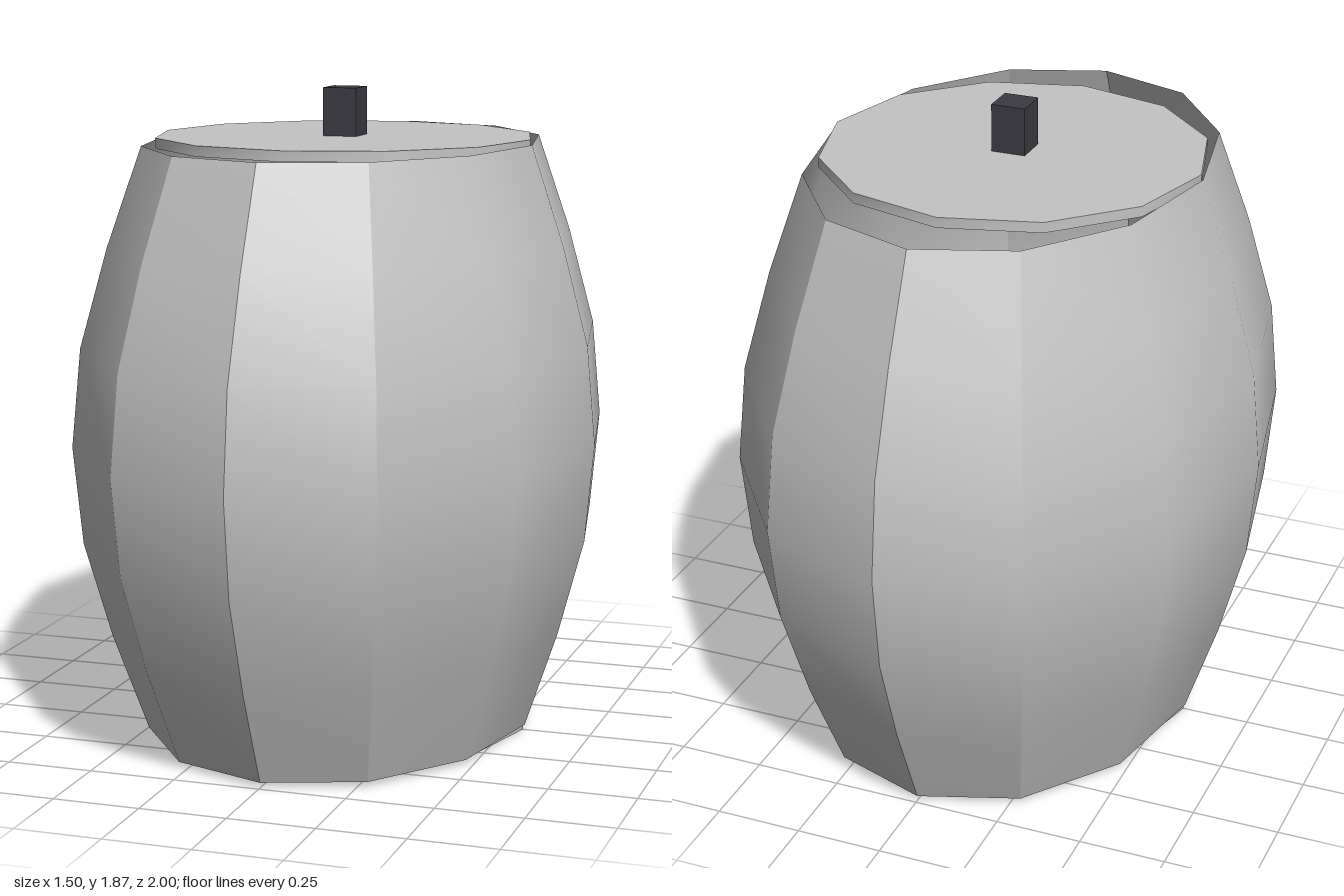
import * as THREE from 'three';
import { toCreasedNormals } from 'three/addons/utils/BufferGeometryUtils.js';

export function createModel() {
  const model = new THREE.Group();
  const shellGrey = new THREE.MeshStandardMaterial({ color: 0xc4c4c4, side: THREE.DoubleSide });
  shellGrey.name = 'light grey';
  const knobGrey = new THREE.MeshStandardMaterial({ color: 0x3b3b43 });
  knobGrey.name = 'dark grey';

  const add = (name, geometry, material, y) => {
    const mesh = new THREE.Mesh(geometry, material);
    mesh.name = name;
    mesh.position.y = y;
    model.add(mesh);
  };

  // Open bulging shell, twelve sides, squeezed to an oval across x
  const radii = [0.74, 0.866, 0.966, 1, 0.966, 0.866, 0.74];
  const profile = radii.map((r, i) => new THREE.Vector2(r, 0.015 + (i * 1.697) / 6));
  const shell = new THREE.LatheGeometry(profile, 12).scale(0.75, 1, 1);
  add('shell', toCreasedNormals(shell, Math.PI / 6), shellGrey, 0);

  // Thin round end plates, smaller than the oval openings
  const plate = () => toCreasedNormals(new THREE.CylinderGeometry(0.55, 0.55, 0.03, 12), Math.PI / 5);
  add('bottomPlate', plate(), shellGrey, 0.015);
  add('topPlate', plate(), shellGrey, 1.712);

  // Square knob on the lid
  add('knob', new THREE.BoxGeometry(0.1, 0.15, 0.1), knobGrey, 1.79);

  return model;
}
